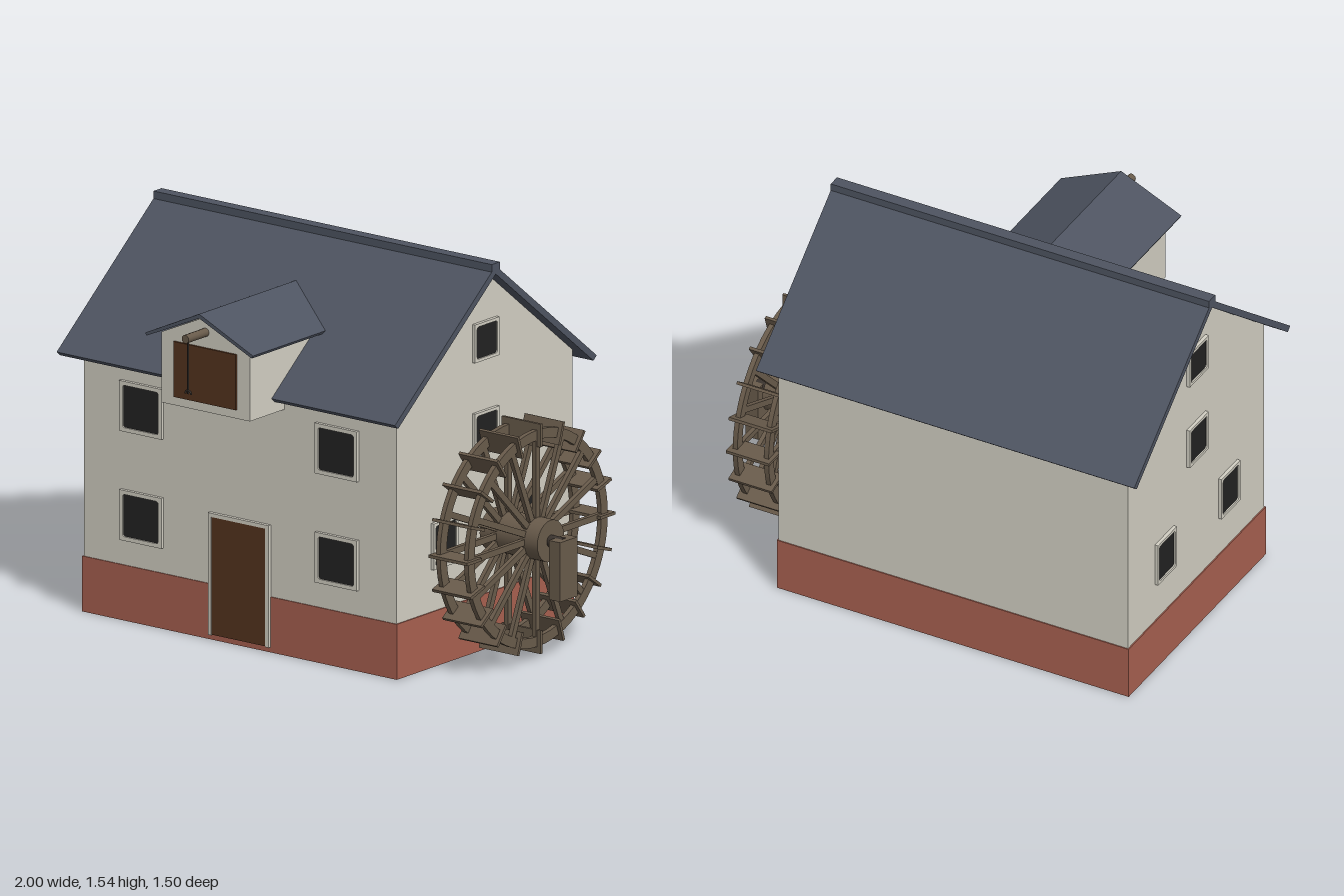
import * as THREE from 'three';

const mat = (name, color, side = THREE.FrontSide) => {
  const m = new THREE.MeshStandardMaterial({ color, side });
  m.name = name;
  return m;
};

export function createModel() {
  const plaster = mat('plaster', 0xd2cfc3);
  const brick = mat('brick', 0xa86050);
  const slate = mat('slate', 0x4e5461);
  const darkWood = mat('dark wood', 0x54331e);
  const wheelWood = mat('weathered wood', 0x695b4b);
  const glass = mat('glass', 0x222222);
  const iron = mat('iron', 0x3a332e);

  const CX = -0.17, CZ = -0.127; // middle of the house
  const model = new THREE.Group();
  model.name = 'watermill';

  const add = (parent, name, geometry, material, x = 0, y = 0, z = 0) => {
    const mesh = new THREE.Mesh(geometry, material);
    mesh.name = name;
    mesh.position.set(x, y, z);
    parent.add(mesh);
    return mesh;
  };
  const box = (parent, name, material, w, h, d, x, y, z) =>
    add(parent, name, new THREE.BoxGeometry(w, h, d), material, x, y, z);
  const group = (name, parent = model) => {
    const g = new THREE.Group();
    g.name = name;
    parent.add(g);
    return g;
  };
  const polygon = pts => new THREE.Shape(pts.map(p => new THREE.Vector2(p[0], p[1])));
  const extrude = (shape, depth, curveSegments = 6) =>
    new THREE.ExtrudeGeometry(shape, { depth, bevelEnabled: false, curveSegments });
  // Prism along x from a (z, y) outline
  const prismX = (pts, x0, x1) =>
    extrude(polygon(pts.map(([z, y]) => [-z, y])), x1 - x0).rotateY(Math.PI / 2).translate(x0, 0, 0);
  // Prism along z from an (x, y) outline
  const prismZ = (pts, z0, z1) => extrude(polygon(pts), z1 - z0).translate(0, 0, z0);

  // House body
  box(model, 'brickBase', brick, 1.53, 0.22, 1.092, CX, 0.11, CZ);
  add(model, 'walls', prismX([
    [CZ - 0.542, 0.2], [CZ + 0.542, 0.2], [CZ + 0.542, 1.065], [CZ, 1.497], [CZ - 0.542, 1.065],
  ], -0.93, 0.59), plaster);

  // Main roof
  for (const s of [1, -1]) {
    add(model, s > 0 ? 'frontRoof' : 'backRoof', prismX([
      [CZ, 1.53], [CZ + s * 0.621, 1.035], [CZ + s * 0.601, 1.018], [CZ, 1.497],
    ], -1, 0.645), slate);
  }
  box(model, 'ridgeCap', slate, 1.645, 0.035, 0.05, -0.1775, 1.5225, CZ);

  // Windows: a raised frame with rounded opening, and a pane inside
  const roundedRect = (path, w, h, r) => {
    const x = w / 2, y = h / 2;
    path.moveTo(-x + r, -y).lineTo(x - r, -y).quadraticCurveTo(x, -y, x, -y + r);
    path.lineTo(x, y - r).quadraticCurveTo(x, y, x - r, y);
    path.lineTo(-x + r, y).quadraticCurveTo(-x, y, -x, y - r);
    path.lineTo(-x, -y + r).quadraticCurveTo(-x, -y, -x + r, -y);
    return path;
  };
  const addWindow = (w, h, x, y, z, turn, border = 0.016) => {
    const g = group('window');
    const shape = polygon([[-w / 2, -h / 2], [w / 2, -h / 2], [w / 2, h / 2], [-w / 2, h / 2]]);
    shape.holes.push(roundedRect(new THREE.Path(), w - 2 * border, h - 2 * border, 0.012));
    add(g, 'windowFrame', extrude(shape, 0.014), plaster);
    box(g, 'windowPane', glass, w - border, h - border, 0.008, 0, 0, 0.004);
    g.position.set(x, y, z);
    g.rotation.y = turn;
  };
  for (const x of [-0.645, 0.305]) {
    for (const y of [0.42, 0.853]) addWindow(0.205, 0.2, x, y, 0.415, 0);
  }
  for (const s of [1, -1]) {
    const x = CX + s * 0.76, turn = s * Math.PI / 2;
    addWindow(0.15, 0.152, x, 1.228, CZ, turn, 0.012);
    addWindow(0.15, 0.172, x, 0.864, CZ, turn, 0.012);
    for (const dz of [-0.253, 0.253]) addWindow(0.15, 0.184, x, 0.479, CZ + dz, turn, 0.012);
  }

  // Front door in its surround
  const surround = [[-0.315, 0.02], [-0.3, 0.02], [-0.3, 0.49], [-0.037, 0.49],
    [-0.037, 0.02], [-0.02, 0.02], [-0.02, 0.505], [-0.315, 0.505]];
  add(model, 'doorSurround', prismZ(surround, 0.41, 0.43), plaster);
  box(model, 'frontDoor', darkWood, 0.263, 0.468, 0.014, -0.1685, 0.256, 0.419);

  // Hoist dormer
  const dormer = group('dormer');
  add(dormer, 'dormerWalls', prismZ([
    [CX - 0.215, 0.975], [CX + 0.215, 0.975], [CX + 0.215, 1.255], [CX, 1.352], [CX - 0.215, 1.255],
  ], 0, 0.628), plaster);
  for (const s of [1, -1]) {
    add(dormer, 'dormerRoof', prismZ([
      [CX, 1.372], [CX + s * 0.262, 1.252], [CX + s * 0.256, 1.241], [CX, 1.355],
    ], 0, 0.668), slate);
  }
  box(dormer, 'hatch', darkWood, 0.302, 0.22, 0.009, -0.169, 1.12, 0.632);
  const beam = new THREE.CylinderGeometry(0.017, 0.017, 0.153, 12).rotateX(Math.PI / 2);
  add(dormer, 'hoistBeam', beam, wheelWood, CX, 1.291, 0.6765);
  add(dormer, 'hoistRope', new THREE.CylinderGeometry(0.004, 0.004, 0.21, 8), iron, CX, 1.175, 0.735);
  const hook = new THREE.TorusGeometry(0.014, 0.004, 6, 12, Math.PI);
  add(dormer, 'hoistHook', hook, iron, CX, 1.07, 0.735);

  // Water wheel, turning about x
  const wheel = group('waterWheel');
  wheel.position.set(0.772, 0.485, CZ);
  const rim = new THREE.Shape().absarc(0, 0, 0.43, 0, Math.PI * 2);
  rim.holes.push(new THREE.Path().absarc(0, 0, 0.39, 0, Math.PI * 2));
  const rimGeometry = extrude(rim, 0.02, 32).rotateY(Math.PI / 2).translate(-0.01, 0, 0);
  const spokeGeometry = new THREE.BoxGeometry(0.018, 0.35, 0.025).translate(0, 0.235, 0);
  const paddleGeometry = new THREE.BoxGeometry(0.188, 0.092, 0.012).translate(0, 0.41, 0);
  for (const x of [-0.068, 0.068]) {
    add(wheel, 'rim', rimGeometry, wheelWood, x);
    for (let i = 0; i < 16; i++) {
      add(wheel, 'spoke', spokeGeometry, wheelWood, x).rotation.x = i * Math.PI / 8;
    }
  }
  for (let i = 0; i < 20; i++) {
    add(wheel, 'paddle', paddleGeometry, wheelWood).rotation.x = i * Math.PI / 10;
  }
  const shaft = (r, length) => new THREE.CylinderGeometry(r, r, length, 24).rotateZ(Math.PI / 2);
  add(wheel, 'hub', shaft(0.083, 0.28), wheelWood);
  add(wheel, 'axle', shaft(0.024, 0.4), iron, 0.005);

  // Outer bearing block
  box(model, 'bearingBlock', wheelWood, 0.055, 0.235, 0.106, 0.9725, 0.3875, CZ);
  return model;
}
